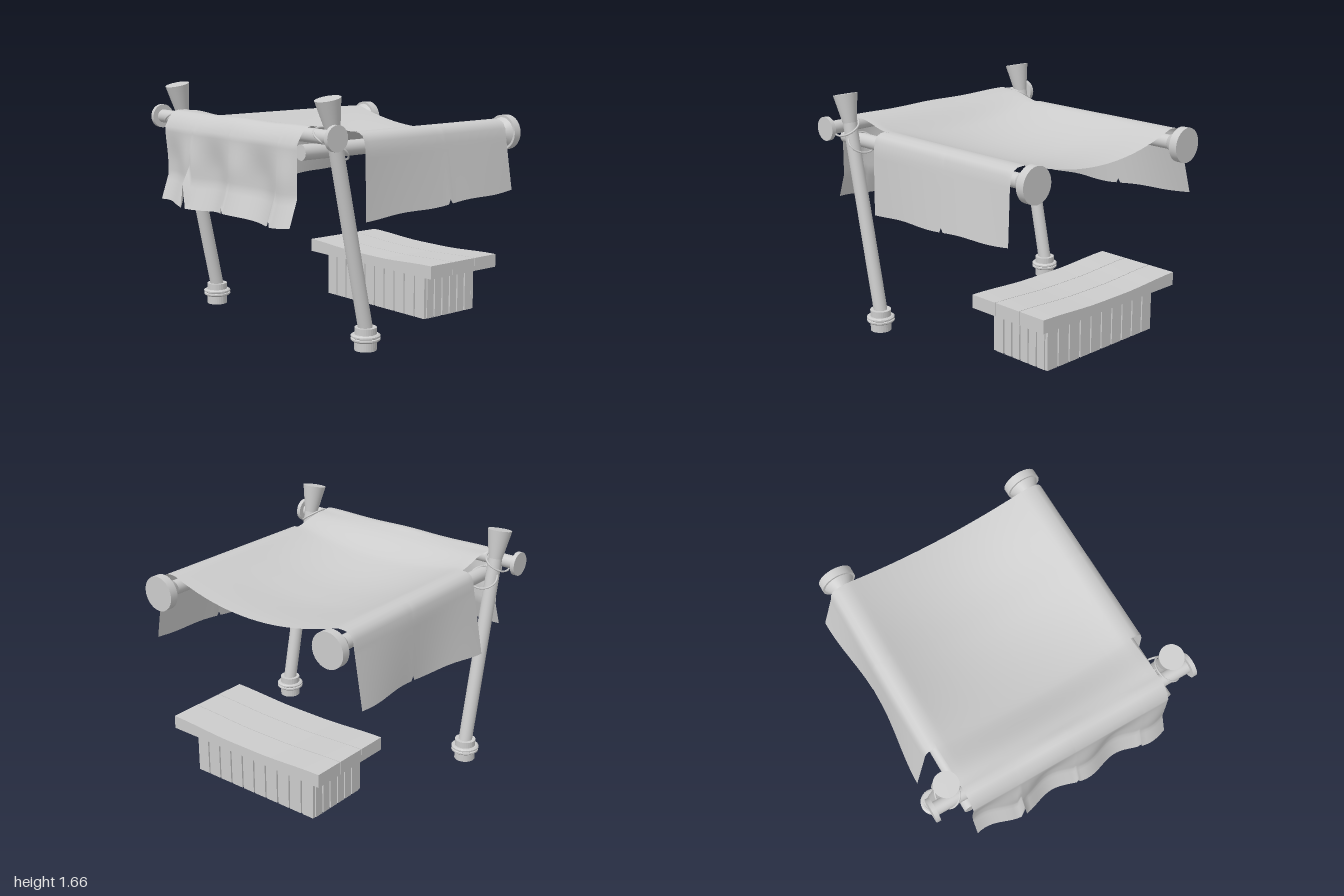
import * as THREE from 'three';
import { mergeGeometries, mergeVertices } from 'three/addons/utils/BufferGeometryUtils.js';

const mat = new THREE.MeshStandardMaterial({ color: 0xcccccc });
const clothMat = new THREE.MeshStandardMaterial({ color: 0xcccccc, side: THREE.DoubleSide });
const V = (x, y, z) => new THREE.Vector3(x, y, z);
const smooth = THREE.MathUtils.smoothstep;

function add(parent, name, geo, material = mat) {
  const m = new THREE.Mesh(geo, material);
  m.name = name;
  parent.add(m);
  return m;
}

// Round pole between two points; r0 at a, r1 at b
function pole(parent, name, a, b, r0, r1 = r0) {
  const m = add(parent, name, new THREE.CylinderGeometry(r1, r0, a.distanceTo(b), 28));
  m.position.copy(a).lerp(b, 0.5);
  m.quaternion.setFromUnitVectors(V(0, 1, 0), b.clone().sub(a).normalize());
}

// Sheet of ni x nj points given by f(i, j)
function sheet(ni, nj, f, flip = false) {
  const pos = [], idx = [];
  for (let j = 0; j < nj; j++) for (let i = 0; i < ni; i++) pos.push(...f(i, j));
  for (let j = 0; j < nj - 1; j++) for (let i = 0; i < ni - 1; i++) {
    const a = j * ni + i, b = a + ni;
    if (flip) idx.push(a, a + 1, b, a + 1, b + 1, b);
    else idx.push(a, b, a + 1, a + 1, b, b + 1);
  }
  const g = new THREE.BufferGeometry();
  g.setAttribute('position', new THREE.Float32BufferAttribute(pos, 3));
  g.setIndex(idx);
  return g;
}

const range = (a, b, n) => Array.from({ length: n + 1 }, (_, i) => a + (b - a) * i / n);

const RAIL_X = 0.735;
const HALF = 0.74;

function clothGeometry() {
  // Torn hem of the front flap: [position, hem height]
  const tears = [[-0.575, 0.83], [-0.54, 1.0], [-0.515, 0.83], [0.03, 0.845], [0.04, 0.89], [0.06, 0.855],
    [0.70, 0.835], [0.73, 0.87], [0.745, 0.83]];
  const cols = [...range(-1, 1, 48).filter(c => !tears.some(t => Math.abs(t[0] - c) < 0.02)), ...tears.map(t => t[0])]
    .sort((a, b) => a - b);
  const hem = c => {
    const t = tears.find(q => q[0] === c);
    return t ? t[1] : 0.84 + 0.012 * Math.sin(c * 6 + 0.8);
  };
  const zs = [...range(-0.87, -0.29, 13), -0.27, -0.255, ...range(-0.2, 0.44, 14)];
  const flatRows = [...zs, ...range(0.47, 0.75, 9)];
  const over = [[0.77, 1.463], [0.80, 1.467], [0.83, 1.46], [0.86, 1.44], [0.885, 1.405]];
  const drop = range(0, 1, 15);
  const nj = flatRows.length + over.length + drop.length;

  // Canopy dropping behind the front beam, deepest past the middle, shallower at the back edge
  const depth = z => 0.155 * Math.sin(Math.PI / 2 * Math.min(1, (0.77 - z) / 0.9)) - 0.035 * smooth(-z, 0.3, 0.87);
  const main = sheet(cols.length, nj, (i, j) => {
    const c = cols[i], x = c * HALF;
    if (j < flatRows.length) {
      const z = flatRows[j];
      const sag = depth(z) * Math.max(0, 1 - (x / 0.7) ** 2);
      const back = z === -0.87 ? -0.02 * (1 - c * c) : 0;
      return [x, 1.408 + 0.054 * smooth(z, 0.42, 0.7) - sag, z + back];
    }
    j -= flatRows.length;
    if (j < over.length) return [x, over[j][1] + 0.003 * Math.cos(c * 7), over[j][0]];
    // Front flap, hanging straight and kicking out at the hem
    const t = drop[j - over.length];
    const wave = 0.029 * Math.cos(9 * (c - 0.14)) * smooth(t, 0, 0.5);
    return [x, 1.36 + (hem(c) - 1.36) * t, 0.911 + wave + 0.06 * Math.max(0, (t - 0.66) / 0.34)];
  });

  // Side flaps wrapped loosely over the rails
  const arc = [[HALF - RAIL_X, 1.408], [0.04, 1.405], [0.075, 1.388], [0.095, 1.35], [0.104, 1.29]];
  const fall = range(0, 1, 10).slice(1);
  const flap = s => sheet(arc.length + fall.length, zs.length, (i, j) => {
    const z = zs[j], k = (0.44 - z) / 1.31;
    if (i < arc.length) return [s * (RAIL_X + arc[i][0]), arc[i][1], z];
    const t = fall[i - arc.length];
    const hemY = z === -0.27 ? 0.915 : 0.845 + 0.075 * k + 0.006 * Math.sin(z * 11);
    const flare = s < 0 ? 0.055 + 0.03 * Math.cos(4.7 * (z + 0.88)) : 0.025 + 0.025 * Math.cos(2.5 * (z + 0.5));
    return [s * (RAIL_X + 0.104 + t * flare), 1.29 + (hemY - 1.29) * t, z - 0.025 * t * k];
  }, s < 0);

  const g = mergeVertices(mergeGeometries([main, flap(1), flap(-1)]), 1e-4);
  g.computeVertexNormals();
  return g;
}

// Closed loop of cord lying in a tilted ellipse
function cord(parent, center, rx, ry, euler) {
  const pts = range(0, Math.PI * 2, 20).slice(0, 20).map(a =>
    V(rx * Math.cos(a), ry * Math.sin(a), 0).applyEuler(euler).add(center));
  add(parent, 'lashing', new THREE.TubeGeometry(new THREE.CatmullRomCurve3(pts, true), 48, 0.007, 6, true));
}

function createFrame() {
  const frame = new THREE.Group();
  frame.name = 'frame';
  // Front beam with end discs
  pole(frame, 'frontBeam', V(-0.96, 1.41, 0.79), V(0.96, 1.41, 0.79), 0.046);
  const footProfile = [[0, 0.05], [0.058, 0.05], [0.058, 0], [0.073, 0], [0.073, 0.06], [0.085, 0.06], [0.097, 0.07],
    [0.097, 0.08], [0.088, 0.084], [0.097, 0.09], [0.097, 0.1], [0.085, 0.108], [0.073, 0.108], [0.073, 0.152], [0, 0.152]];
  for (const s of [-1, 1]) {
    const side = new THREE.Group();
    side.name = s > 0 ? 'leftSide' : 'rightSide';
    frame.add(side);
    pole(side, 'beamEndDisc', V(s * 0.95, 1.41, 0.79), V(s * 0.98, 1.41, 0.79), 0.083);

    // Leaning post with flared head and collared foot
    const base = V(s * 0.832, 0.08, 0.415), top = V(s * 0.832, 1.64, 0.745);
    const at = y => base.clone().lerp(top, (y - base.y) / (top.y - base.y));
    pole(side, 'post', base, at(1.5), 0.048);
    pole(side, 'postHead', at(1.44), top, 0.047, 0.085);
    const foot = new THREE.LatheGeometry(footProfile.map(p => new THREE.Vector2(...p)), 28).toNonIndexed();
    foot.computeVertexNormals();
    add(side, 'foot', foot).position.set(s * 0.832, 0, 0.427);

    // Side rail inside the post, with flared back end
    const rail = z => V(s * RAIL_X, 1.31, z);
    pole(side, 'sideRail', rail(0.88), rail(-0.92), 0.05);
    pole(side, 'railFlare', rail(-0.86), rail(-0.942), 0.052, 0.108);
    pole(side, 'railEndDisc', rail(-0.94), rail(-1), 0.123);

    // Cord lashings: beam to post, and rail to post
    cord(side, V(s * 0.832, 1.41, 0.74), 0.09, 0.1, new THREE.Euler(Math.PI / 2, 0, -s * 0.6, 'ZYX'));
    cord(side, V(s * 0.783, 1.31, 0.64), 0.105, 0.085, new THREE.Euler(0.75, 0, 0));
  }
  return frame;
}

function createBench() {
  const bench = new THREE.Group();
  bench.name = 'bench';
  // Three seat planks, worn lower at the middle
  for (let n = 0; n < 3; n++) {
    const g = new THREE.BoxGeometry(1.306, 0.09, 0.216, 14, 1, 1);
    const p = g.attributes.position;
    for (let i = 0; i < p.count; i++) {
      const x = p.getX(i);
      if (p.getY(i) > 0) p.setY(i, 0.027 + 0.022 * smooth(Math.abs(x), 0.12, 0.66));
    }
    g.computeVertexNormals();
    add(bench, 'seatPlank', g).position.set(0.004, 0.365, -0.44 - n * 0.22);
  }
  // Upright boards with recessed joints, forming a hollow base
  const board = (w, d, x, z) => add(bench, 'baseBoard', new THREE.BoxGeometry(w, 0.32, d)).position.set(x, 0.16, z);
  for (const s of [-1, 1]) {
    for (let n = 0; n < 10; n++) {
      board(0.094, 0.022, -0.477 + n * 0.106, -0.65 + s * 0.238);
      if (n < 9) board(0.012, 0.004, -0.424 + n * 0.106, -0.65 + s * 0.229);
    }
    for (let n = 0; n < 6; n++) {
      board(0.022, 0.064, s * 0.517, -0.65 + (n - 2.5) * 0.076);
      if (n < 5) board(0.004, 0.012, s * 0.508, -0.65 + (n - 2) * 0.076);
    }
  }
  return bench;
}

export function createModel() {
  const model = new THREE.Group();
  model.name = 'marketStall';
  model.add(createFrame(), createBench());
  add(model, 'canopyCloth', clothGeometry(), clothMat);
  return model;
}
